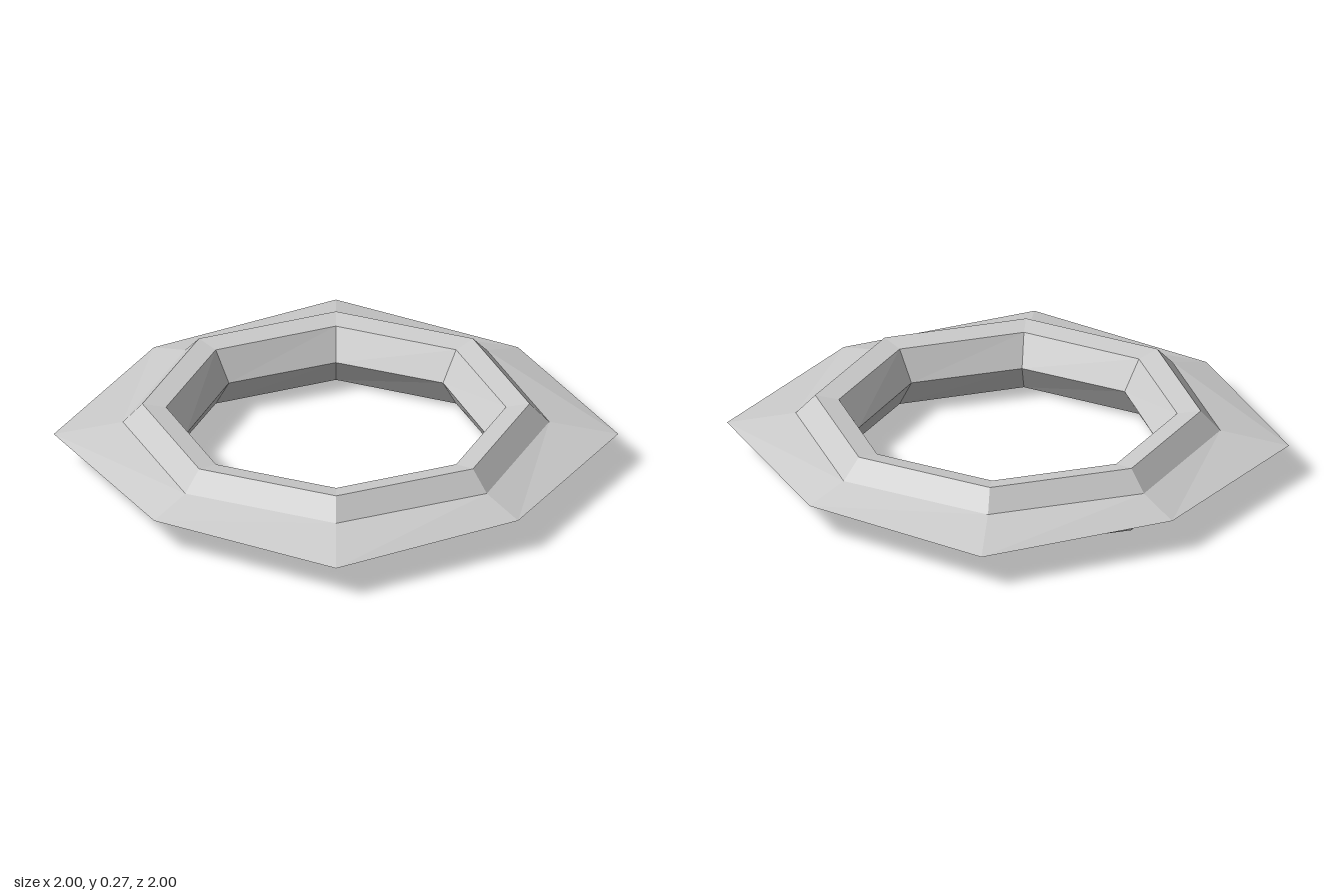
import * as THREE from 'three';

// Closed cross-section: [radius, height, stretch of the radius at the diagonal corners]
const PROFILE = [
  [1.0, 0.133, 1.096], // sharp outer rim
  [0.828, 0.187, 1.0],
  [0.752, 0.267, 1.0], // top crest
  [0.66, 0.252, 1.0],
  [0.588, 0.133, 0.99], // inner edge
  [0.66, 0.015, 1.0],
  [0.752, 0.0, 1.0], // bottom crest
  [0.828, 0.08, 1.0],
];
const SIDES = 8;

// Sweep the cross-section around an octagon
function ringGeometry() {
  const positions = [];
  const index = [];
  const n = PROFILE.length;
  for (let i = 0; i < SIDES; i++) {
    const angle = (i / SIDES) * Math.PI * 2;
    for (const [radius, y, stretch] of PROFILE) {
      const r = i % 2 ? radius * stretch : radius;
      positions.push(r * Math.sin(angle), y, r * Math.cos(angle));
    }
    const next = (i + 1) % SIDES;
    for (let j = 0; j < n; j++) {
      const k = (j + 1) % n;
      const a = i * n + j, b = next * n + j, c = next * n + k, d = i * n + k;
      index.push(a, b, c, a, c, d);
    }
  }
  const geometry = new THREE.BufferGeometry();
  geometry.setAttribute('position', new THREE.Float32BufferAttribute(positions, 3));
  geometry.setIndex(index);
  geometry.computeVertexNormals();
  return geometry;
}

export function createModel() {
  const group = new THREE.Group();
  const material = new THREE.MeshStandardMaterial({ color: 0xcccccc, flatShading: true });
  const ring = new THREE.Mesh(ringGeometry(), material);
  ring.name = 'bladedRing';
  group.add(ring);
  return group;
}
